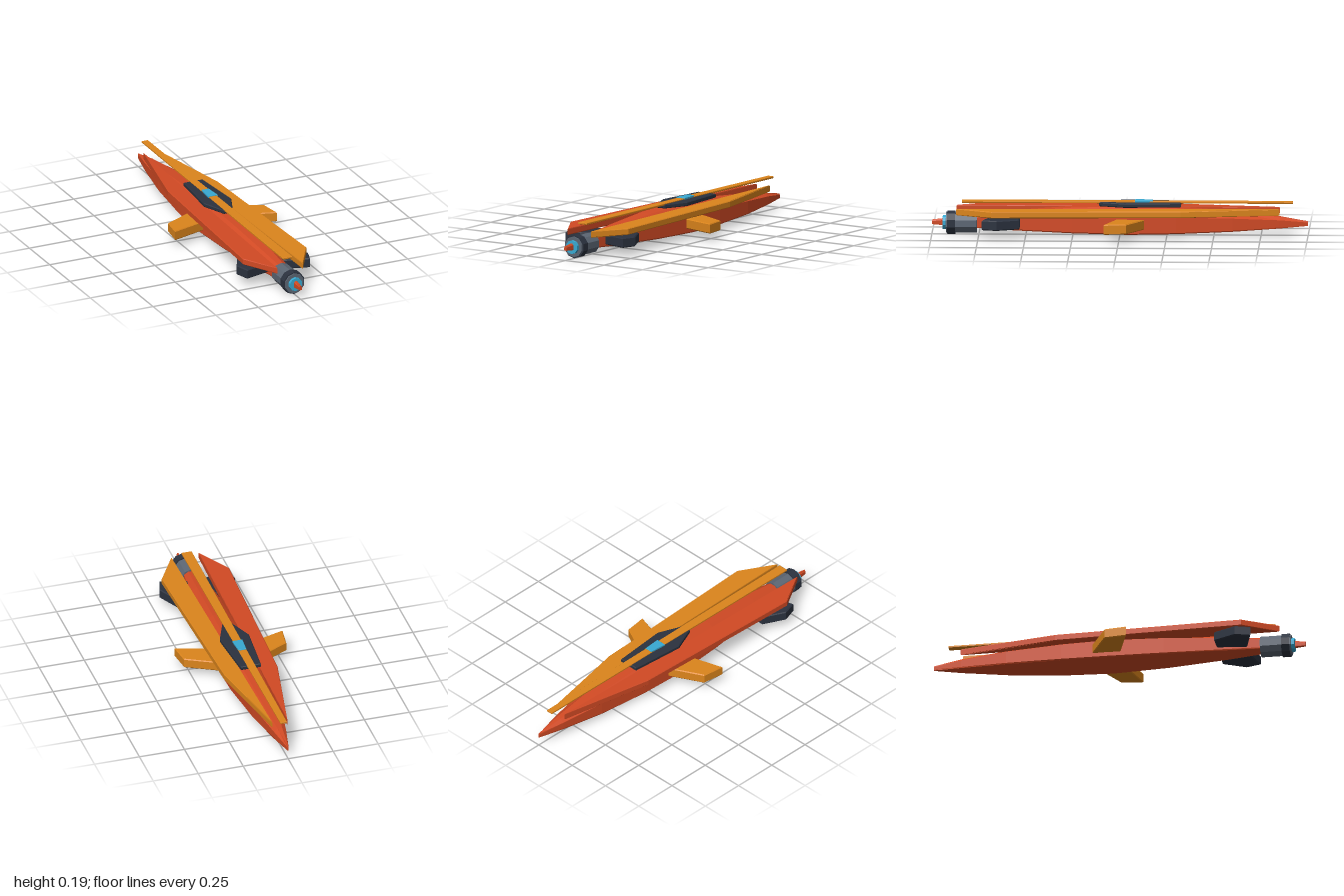
import * as THREE from 'three';

const material = (color) => new THREE.MeshStandardMaterial({ color, flatShading: true });

export function createModel() {
  const ship = new THREE.Group();
  ship.name = 'ship';
  const red = material(0xd24a24), orange = material(0xdc851c), dark = material(0x2b323f);
  const grey = material(0x5c6673), cyan = material(0x38a9d2);

  const add = (name, geometry, mat) => {
    const mesh = new THREE.Mesh(geometry, mat);
    mesh.name = name;
    ship.add(mesh);
    return mesh;
  };

  // Flat bevelled plate from an [x, z] outline, between heights y0 and y1
  const plate = (name, outline, y0, y1, mat, side = 1, bevel = 0.004) => {
    const shape = new THREE.Shape(outline.map(([x, z]) => new THREE.Vector2(x * side, -z)));
    const geometry = new THREE.ExtrudeGeometry(shape, {
      depth: y1 - y0 - 2 * bevel, bevelThickness: bevel, bevelSize: bevel,
      bevelOffset: -bevel, bevelSegments: 1,
    });
    geometry.rotateX(-Math.PI / 2).translate(0, y0 + bevel, 0);
    return add(name, geometry, mat);
  };
  const symmetric = (half) => [...half, ...half.map(([x, z]) => [-x, z]).reverse()];

  // Hull: z, half width, bottom, shoulder and ridge heights of each section
  const stations = [
    [-1, 0.003, 0.052, 0.070, 0.077],
    [-0.85, 0.034, 0.042, 0.086, 0.102],
    [-0.6, 0.075, 0.029, 0.100, 0.126],
    [-0.3, 0.102, 0.019, 0.108, 0.150],
    [-0.05, 0.110, 0.015, 0.112, 0.160],
    [0.25, 0.094, 0.020, 0.110, 0.150],
    [0.58, 0.062, 0.031, 0.102, 0.126],
    [0.8, 0.034, 0.041, 0.092, 0.106],
    [0.93, 0.013, 0.049, 0.078, 0.086],
    [1, 0.007, 0.054, 0.070, 0.078],
  ];
  const rings = stations.map(([z, w, bottom, shoulder, top]) => [
    [-0.95 * w, bottom], [0.95 * w, bottom], [w, bottom + 0.006], [w, shoulder],
    [0.38 * w, top], [-0.38 * w, top], [-w, shoulder], [-w, bottom + 0.006],
  ].map(([x, y]) => [x, y, z]));
  const positions = [];
  const sides = rings[0].length;
  for (let s = 0; s < rings.length - 1; s++) {
    const a = rings[s], b = rings[s + 1];
    for (let i = 0; i < sides; i++) {
      const j = (i + 1) % sides;
      positions.push(...a[i], ...a[j], ...b[j], ...a[i], ...b[j], ...b[i]);
    }
  }
  const back = rings[0], front = rings[rings.length - 1];
  for (let i = 1; i < sides - 1; i++) {
    positions.push(...front[0], ...front[i], ...front[i + 1]);
    positions.push(...back[0], ...back[i + 1], ...back[i]);
  }
  const hull = new THREE.BufferGeometry();
  hull.setAttribute('position', new THREE.Float32BufferAttribute(positions, 3));
  hull.computeVertexNormals();
  add('hull', hull, red);

  // Deck panels, wings and fins on both sides
  const panelOutline = [[0.042, -0.85], [0.148, -0.325], [0.187, 0.68], [0.075, 0.87]];
  const wingOutline = [[0.07, -0.15], [0.284, -0.04], [0.3, 0.08], [0.07, 0.01]];
  const finOutline = [[0.04, 0.53], [0.15, 0.53], [0.21, 0.65], [0.185, 0.73], [0.04, 0.69]];
  for (const [label, side] of [['left', 1], ['right', -1]]) {
    plate(label + 'DeckPanel', panelOutline, 0.112, 0.147, side > 0 ? orange : red, side);
    plate(label + 'Wing', wingOutline, 0.043, 0.097, orange, side, 0.005);
    plate(label + 'Fin', finOutline, 0.048, 0.101, dark, side, 0.005);
  }

  // Cockpit base, long spine strip and window
  plate('cockpitBase', symmetric([[0.056, -0.325], [0.081, -0.025], [0.026, 0.11]]), 0.156, 0.178, dark);
  plate('spineStrip', symmetric([[0.018, -0.92], [0.028, 0.84]]), 0.172, 0.183, orange, 1, 0.002);
  plate('cockpitWindow', symmetric([[0.021, -0.175], [0.028, -0.08]]), 0.174, 0.188, cyan, 1, 0.002);

  // Ten-sided engine around the hull's forward end
  const drum = (name, radius, z0, z1, mat) => {
    const geometry = new THREE.CylinderGeometry(radius, radius, z1 - z0, 10);
    geometry.rotateX(Math.PI / 2).translate(0, 0.064, (z0 + z1) / 2);
    add(name, geometry, mat);
  };
  drum('engineBody', 0.056, 0.76, 0.925, grey);
  drum('engineRing', 0.063, 0.875, 0.918, dark);
  drum('engineGlow', 0.037, 0.9, 0.942, cyan);

  return ship;
}
